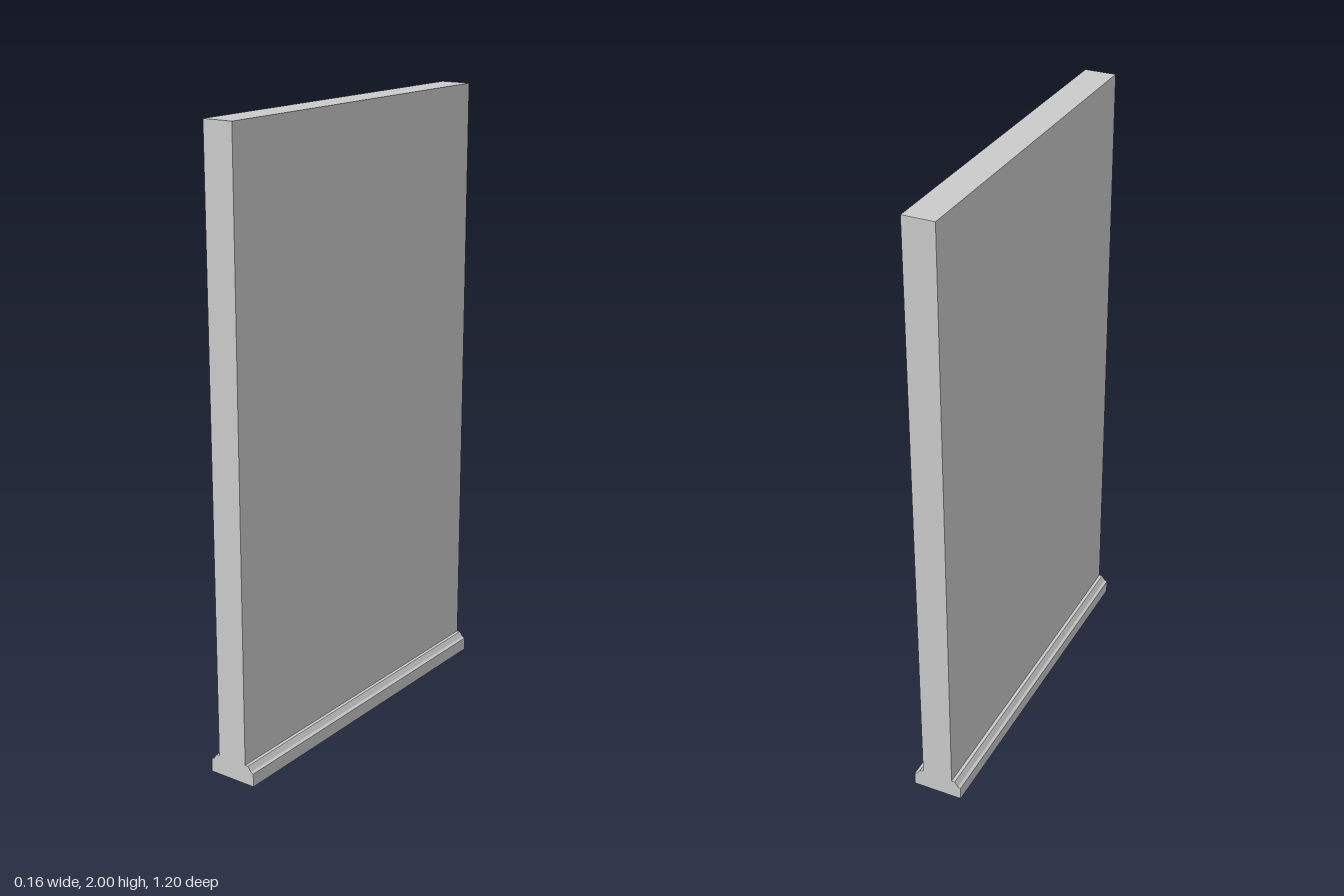
import * as THREE from 'three';

const DEPTH = 1.2;
const WALL_HALF = 0.051;

export function createModel() {
  const model = new THREE.Group();
  const material = new THREE.MeshStandardMaterial({ color: 0xcccccc, flatShading: true });

  // Extrude a front-facing outline along z, centred on z = 0
  const addProfile = (name, points) => {
    const shape = new THREE.Shape(points.map(([x, y]) => new THREE.Vector2(x, y)));
    const geometry = new THREE.ExtrudeGeometry(shape, { depth: DEPTH, bevelEnabled: false });
    geometry.translate(0, 0, -DEPTH / 2);
    const mesh = new THREE.Mesh(geometry, material);
    mesh.name = name;
    model.add(mesh);
  };

  // Plain upright wall slab
  addProfile('wall', [[-WALL_HALF, 0], [WALL_HALF, 0], [WALL_HALF, 2], [-WALL_HALF, 2]]);

  // Moulded skirting along the foot of each face
  const moulding = [[WALL_HALF, 0], [0.082, 0], [0.082, 0.043], [0.073, 0.047], [0.062, 0.063], [WALL_HALF, 0.063]];
  addProfile('leftSkirting', moulding);
  addProfile('rightSkirting', moulding.map(([x, y]) => [-x, y]).reverse());

  return model;
}
